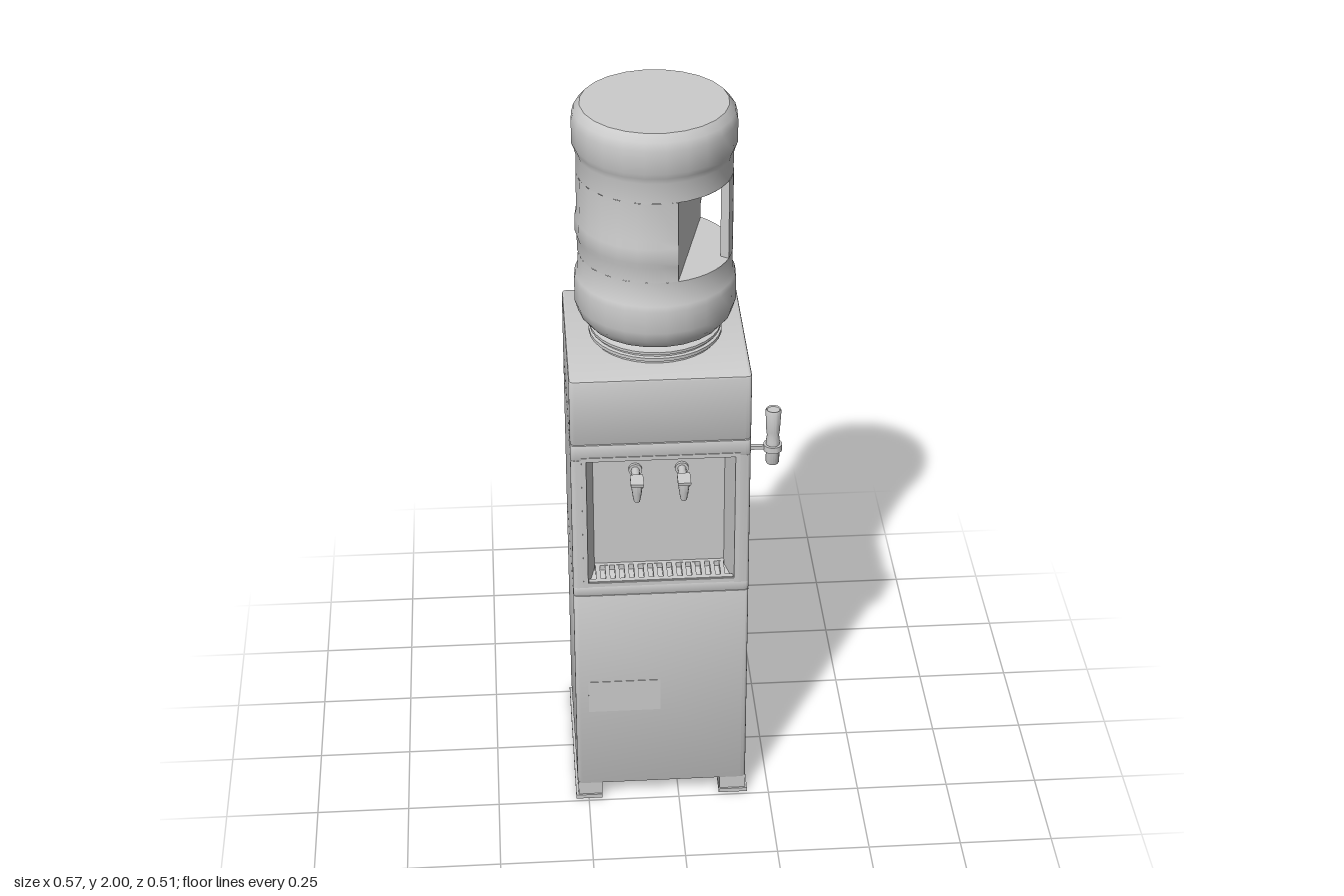
import * as THREE from 'three';
import { toCreasedNormals, mergeGeometries } from 'three/addons/utils/BufferGeometryUtils.js';

const mat = new THREE.MeshStandardMaterial({ color: 0xcccccc });
const thinMat = new THREE.MeshStandardMaterial({ color: 0xcccccc, side: THREE.DoubleSide });

// cabinet footprint
const L = -0.28, R = 0.186, BACK = -0.25, FRONT = 0.237, CX = (L + R) / 2, CZ = (BACK + FRONT) / 2;

export function createModel() {
  const root = new THREE.Group();

  function add(parent, name, geo, material = mat, x = 0, y = 0, z = 0) {
    const mesh = new THREE.Mesh(toCreasedNormals(geo, 0.6), material);
    mesh.name = name;
    mesh.position.set(x, y, z);
    parent.add(mesh);
    return mesh;
  }
  // box given by its two corners
  function box(parent, name, x0, x1, y0, y1, z0, z1) {
    return add(parent, name, new THREE.BoxGeometry(x1 - x0, y1 - y0, z1 - z0), mat,
      (x0 + x1) / 2, (y0 + y1) / 2, (z0 + z1) / 2);
  }
  const lathe = (pts, seg, start = 0, len = Math.PI * 2) =>
    new THREE.LatheGeometry(pts.map(p => new THREE.Vector2(p[0], p[1])), seg, start, len);

  // plan outline (shape y = -z) with rounded corners, optionally notched at the front
  function plan(notch) {
    const s = new THREE.Shape(), r = 0.014;
    s.moveTo(L + r, -FRONT);
    if (notch) notch.forEach(([x, z]) => s.lineTo(x, -z));
    s.lineTo(R - r, -FRONT);
    s.quadraticCurveTo(R, -FRONT, R, -FRONT + r);
    s.lineTo(R, -BACK - r);
    s.quadraticCurveTo(R, -BACK, R - r, -BACK);
    s.lineTo(L + r, -BACK);
    s.quadraticCurveTo(L, -BACK, L, -BACK - r);
    s.lineTo(L, -FRONT + r);
    s.quadraticCurveTo(L, -FRONT, L + r, -FRONT);
    return s;
  }
  function slab(name, y0, y1, bevel, notch) {
    const g = new THREE.ExtrudeGeometry(plan(notch), {
      depth: y1 - y0 - 2 * bevel, curveSegments: 4, bevelEnabled: bevel > 0,
      bevelThickness: bevel, bevelSize: bevel, bevelOffset: -bevel, bevelSegments: 2 });
    g.rotateX(-Math.PI / 2);
    add(root, name, g, mat, 0, y0 + bevel, 0);
  }

  // cabinet: lower body, dispensing section with a recess, top cover
  const nicheBack = 0.15;
  slab('lowerCabinet', 0.05, 0.685, 0.003);
  slab('recessSill', 0.685, 0.715, 0.003);
  slab('recessSurround', 0.712, 1.11, 0,
    [[-0.24, FRONT], [-0.22, nicheBack], [0.126, nicheBack], [0.146, FRONT]]);
  slab('recessHeader', 1.108, 1.155, 0.003);
  slab('topCover', 1.155, 1.345, 0.006);

  // sloped ceiling of the recess
  const wedge = new THREE.Shape([[-0.235, 1.11], [-nicheBack + 0.001, 1.11], [-nicheBack + 0.001, 1.085]]
    .map(p => new THREE.Vector2(...p)));
  const wedgeGeo = new THREE.ExtrudeGeometry(wedge, { depth: 0.37, bevelEnabled: false });
  wedgeGeo.rotateY(Math.PI / 2);
  add(root, 'recessCeiling', wedgeGeo, mat, -0.232, 0, 0);

  // trim around the recess
  const trim = new THREE.Shape([[-0.252, 0.715], [0.158, 0.715], [0.158, 1.118], [-0.252, 1.118]]
    .map(p => new THREE.Vector2(...p)));
  trim.holes.push(new THREE.Path([[-0.24, 0.727], [-0.24, 1.106], [0.146, 1.106], [0.146, 0.727]]
    .map(p => new THREE.Vector2(...p))));
  add(root, 'recessTrim', new THREE.ExtrudeGeometry(trim, { depth: 0.004, bevelEnabled: false }),
    mat, 0, 0, FRONT - 0.002);

  // drip tray grille
  const bars = [];
  for (let i = 0; i < 14; i++) {
    const bar = new THREE.BoxGeometry(0.012, 0.015, 0.065);
    bar.translate(-0.212 + i * 0.0254, 0.722, 0.192);
    bars.push(bar);
  }
  add(root, 'dripGrille', mergeGeometries(bars));
  box(root, 'dripTrayFrontRail', -0.238, 0.144, 0.713, 0.73, 0.222, 0.236);
  box(root, 'dripTrayBackRail', -0.22, 0.126, 0.713, 0.73, 0.149, 0.161);

  // feet rails with a slightly flared base
  for (const [x0, x1, f0, f1] of [[L, -0.212, L - 0.005, -0.212], [0.112, R, 0.112, R + 0.005]]) {
    box(root, 'footRail', x0 + 0.002, x1, 0.008, 0.055, BACK + 0.002, FRONT - 0.002);
    box(root, 'footBase', f0, f1, 0, 0.012, BACK - 0.005, FRONT + 0.003);
  }

  // taps
  for (const x of [-0.109, 0.013]) {
    const tap = new THREE.Group();
    tap.name = 'tap';
    tap.position.set(x, 0, 0);
    root.add(tap);
    const stem = new THREE.CylinderGeometry(0.011, 0.011, 0.08, 12);
    stem.rotateX(Math.PI / 2);
    add(tap, 'tapStem', stem, mat, 0, 1.025, 0.188);
    const flange = new THREE.CylinderGeometry(0.018, 0.018, 0.008, 12);
    flange.rotateX(Math.PI / 2);
    add(tap, 'tapFlange', flange, mat, 0, 1.025, 0.154);
    add(tap, 'tapSpout', lathe([[0, 0.975], [0.008, 0.975], [0.011, 0.99], [0.015, 1.02],
      [0.015, 1.038], [0, 1.04]], 12), mat, 0, 0, 0.228);
    const lever = box(tap, 'tapLever', -0.017, 0.017, 1.036, 1.045, 0.213, 0.255);
    lever.rotation.x = 0.12;
  }

  // shallow label plate on the lower front, switch panel on the back
  box(root, 'frontLabelPlate', -0.245, -0.05, 0.3, 0.4, FRONT - 0.005, FRONT + 0.0015);
  box(root, 'switchPanel', -0.205, -0.083, 1.19, 1.31, BACK - 0.003, BACK + 0.005);
  for (const x of [-0.182, -0.166]) box(root, 'rearSwitch', x - 0.005, x + 0.005, 1.255, 1.285, BACK - 0.008, BACK);

  // side-mounted holder: wall plate, arm, ring and upright tube
  const holder = new THREE.Group();
  holder.name = 'sideHolder';
  holder.position.set(0.258, 0, 0.088);
  root.add(holder);
  box(holder, 'holderPlate', -0.073, -0.06, 1.025, 1.053, -0.01, 0.01);
  box(holder, 'holderArm', -0.064, -0.015, 1.034, 1.044, -0.006, 0.006);
  add(holder, 'holderRing', lathe([[0.016, 1.03], [0.025, 1.03], [0.025, 1.048], [0.016, 1.048]], 20));
  add(holder, 'holderTube', lathe([[0, 0.99], [0.016, 0.99], [0.018, 0.995], [0.018, 1.06], [0.016, 1.075],
    [0.018, 1.09], [0.021, 1.15], [0.019, 1.155], [0.016, 1.152], [0, 1.152]], 20));

  // bottle with a flat-backed grip recess
  const bottle = new THREE.Group();
  bottle.name = 'bottle';
  bottle.position.set(-0.045, 0, -0.01);
  root.add(bottle);
  const r = 0.199, flat = 0.09, yLow = 1.595, yHigh = 1.815;
  const half = Math.acos(flat / r), dir = THREE.MathUtils.degToRad(76.5);
  const start = dir + half, open = Math.PI * 2 - 2 * half;
  add(bottle, 'bottleLower', lathe([[0, 1.385], [0.15, 1.385], [0.18, 1.4], [0.2, 1.425], [0.209, 1.455],
    [0.209, 1.515], [0.206, 1.53], [r, 1.545], [r, yLow]], 24, start));
  add(bottle, 'bottleMiddle', lathe([[r, yLow], [r, 1.635], [0.204, 1.65], [0.204, 1.69], [r, 1.71],
    [r, yHigh]], 16, start, open), thinMat);
  add(bottle, 'bottleUpper', lathe([[r, yHigh], [r, 1.87], [0.203, 1.885], [0.209, 1.9], [0.209, 1.96],
    [0.203, 1.982], [0.187, 2], [0, 2]], 24, start));

  // recess: back wall, floor and ceiling, and the grip, in a frame whose +x points outward
  const grip = new THREE.Group();
  grip.name = 'gripRecess';
  grip.rotation.y = dir - Math.PI / 2;
  bottle.add(grip);
  const wall = new THREE.PlaneGeometry(2 * r * Math.sin(half), yHigh - yLow);
  wall.rotateY(Math.PI / 2);
  add(grip, 'recessWall', wall, thinMat, flat, (yLow + yHigh) / 2, 0);
  const segment = new THREE.Shape();
  segment.absarc(0, 0, r, -half, half, false);
  const cap = new THREE.ShapeGeometry(segment, 8);
  cap.rotateX(-Math.PI / 2);
  for (const y of [yLow, yHigh]) add(grip, 'recessLedge', cap, thinMat, 0, y, 0);
  const bar = new THREE.Shape();
  const a = 0.18;
  bar.absarc(0, 0, r, -a, a, false);
  bar.absarc(0, 0, r - 0.024, a * 0.85, -a * 0.85, true);
  const barGeo = new THREE.ExtrudeGeometry(bar, { depth: yHigh - yLow, bevelEnabled: false, curveSegments: 5 });
  barGeo.rotateX(-Math.PI / 2);
  add(grip, 'gripBar', barGeo, mat, 0, yLow, 0);

  // stepped collar under the bottle
  add(bottle, 'bottleCollar', lathe([[0.165, 1.34], [0.165, 1.352], [0.173, 1.354], [0.173, 1.363],
    [0.165, 1.365], [0.165, 1.37], [0.171, 1.372], [0.171, 1.379], [0.15, 1.382], [0.14, 1.39]], 32));

  return root;
}
